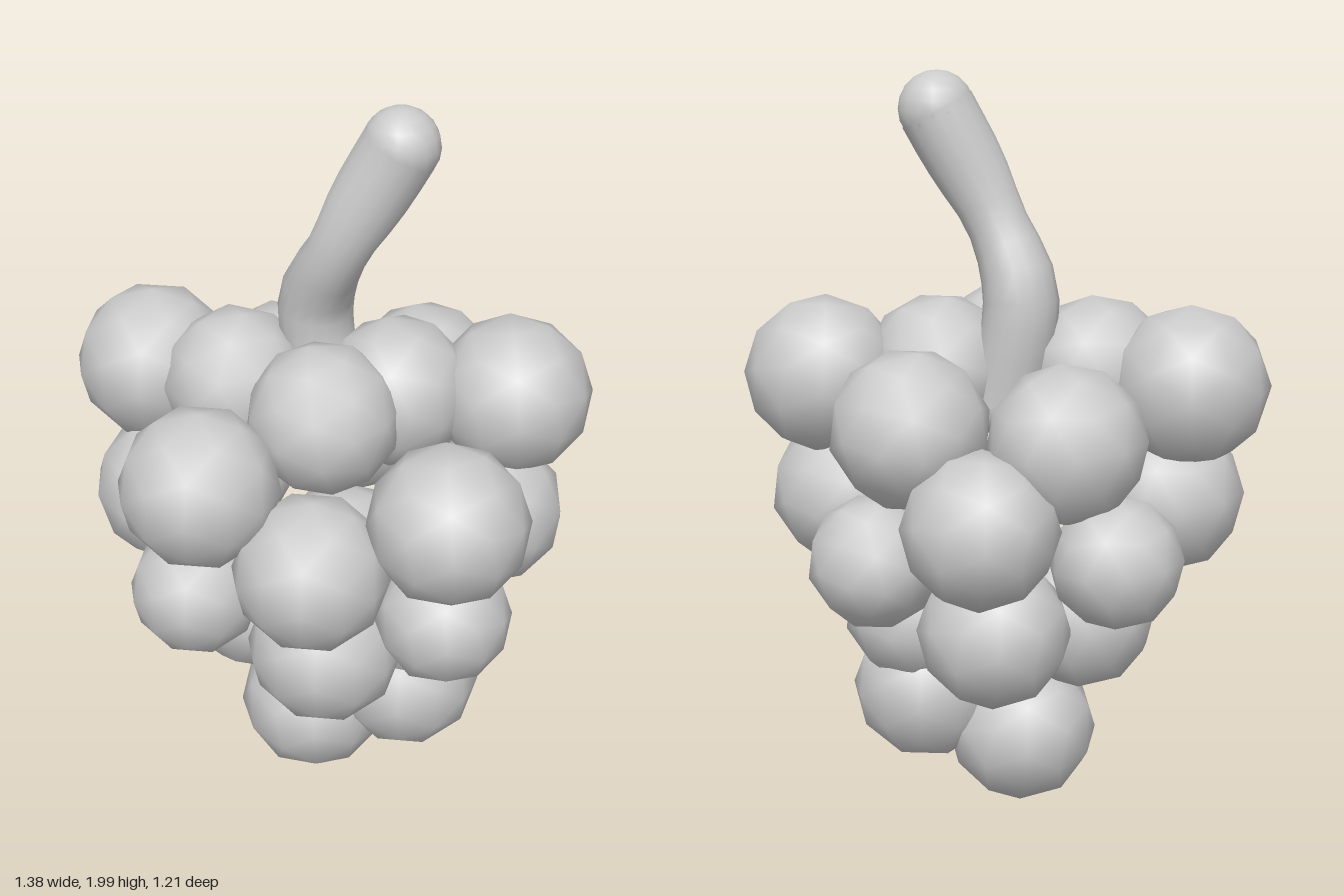
import * as THREE from 'three';

const material = new THREE.MeshStandardMaterial({ color: 0xcccccc });

// Berry rows from top to bottom: x, y, z, radius
const ROWS = {
  crownBerry: [
    [-0.48, 1.21, -0.1, 0.21], [0.48, 1.21, -0.04, 0.21],
    [-0.24, 1.22, 0, 0.2], [0.18, 1.22, 0, 0.2], [0.01, 1.22, 0.17, 0.2],
  ],
  shoulderBerry: [
    [-0.28, 1.1, 0.35, 0.21], [0.35, 1.04, 0.35, 0.21],
    [-0.17, 1.09, -0.27, 0.21], [0.23, 1.12, -0.26, 0.21],
  ],
  middleBerry: [
    [0.01, 0.9, 0.4, 0.205], [0.04, 0.9, -0.4, 0.205],
    [-0.43, 0.88, 0, 0.205], [0.43, 0.88, 0, 0.205],
  ],
  smallBerry: [
    [-0.31, 0.75, 0.29, 0.175], [0.34, 0.72, 0.29, 0.18],
    [-0.3, 0.79, -0.3, 0.175], [0.32, 0.78, -0.3, 0.175],
  ],
  lowerBerry: [
    [0.02, 0.54, 0.21, 0.21], [0.02, 0.56, -0.21, 0.205],
    [-0.2, 0.54, 0, 0.205], [0.24, 0.54, 0, 0.205],
  ],
  tipBerry: [[0.22, 0.32, 0.01, 0.205], [-0.04, 0.205, 0, 0.205]],
};

// Bent stem with a narrow waist and rounded ends
function createStem() {
  const stem = new THREE.Group();
  stem.name = 'stem';
  const curve = new THREE.CatmullRomCurve3([
    new THREE.Vector3(0, 1.15, -0.05),
    new THREE.Vector3(-0.04, 1.43, -0.06),
    new THREE.Vector3(0.03, 1.62, -0.005),
    new THREE.Vector3(0.18, 1.9, 0),
  ], false, 'centripetal');
  const segments = 12, sides = 16, radius = 0.1;
  const geometry = new THREE.TubeGeometry(curve, segments, radius, sides);
  const pos = geometry.attributes.position, p = new THREE.Vector3();
  for (let i = 0; i < pos.count; i++) {
    const t = Math.floor(i / (sides + 1)) / segments;
    const centre = curve.getPointAt(t);
    const waist = 1 - 0.2 * Math.exp(-(((t - 0.6) / 0.15) ** 2));
    p.fromBufferAttribute(pos, i).sub(centre).multiplyScalar(waist).add(centre);
    pos.setXYZ(i, p.x, p.y, p.z);
  }
  const shaft = new THREE.Mesh(geometry, material);
  shaft.name = 'stemShaft';
  stem.add(shaft);
  for (const [name, t] of [['stemBase', 0], ['stemTip', 1]]) {
    const cap = new THREE.Mesh(new THREE.SphereGeometry(radius, sides, 10), material);
    cap.name = name;
    cap.position.copy(curve.getPointAt(t));
    stem.add(cap);
  }
  return stem;
}

export function createModel() {
  const model = new THREE.Group();
  model.name = 'grapeBunch';

  // Faceted outline with smooth shading
  const berryGeometry = new THREE.IcosahedronGeometry(1, 1);
  for (const [name, berries] of Object.entries(ROWS)) {
    berries.forEach(([x, y, z, r], i) => {
      const berry = new THREE.Mesh(berryGeometry, material);
      berry.name = `${name}${i + 1}`;
      berry.position.set(x, y, z);
      berry.scale.setScalar(r);
      berry.rotation.set(0.3 * i, 0.7 * i, 0);
      model.add(berry);
    });
  }

  model.add(createStem());
  return model;
}
